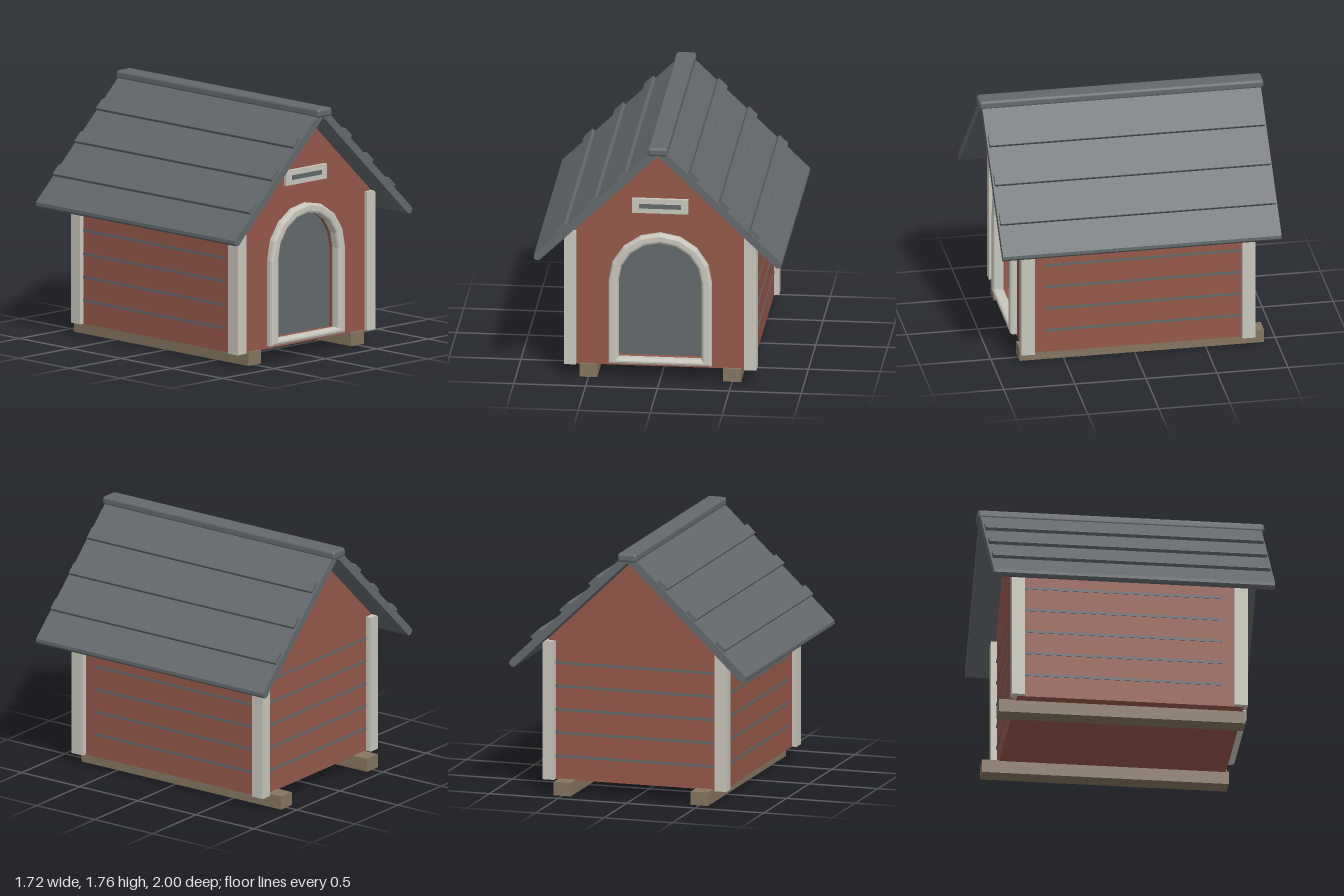
import * as THREE from 'three';
import { RoundedBoxGeometry } from 'three/addons/geometries/RoundedBoxGeometry.js';

const material = (name, color) => {
  const m = new THREE.MeshStandardMaterial({ color });
  m.name = name;
  return m;
};

export function createModel() {
  const red = material('barn red', 0x96584a);
  const cream = material('cream trim', 0xc9c7bc);
  const slate = material('slate grey', 0x63696c);
  const wood = material('brown wood', 0x857560);

  const model = new THREE.Group();
  model.name = 'kennel';

  const add = (name, geometry, mat, x = 0, y = 0, z = 0, parent = model) => {
    const mesh = new THREE.Mesh(geometry, mat);
    mesh.name = name;
    mesh.position.set(x, y, z);
    parent.add(mesh);
    return mesh;
  };
  const box = (name, mat, w, h, d, x, y, z, parent) =>
    add(name, new THREE.BoxGeometry(w, h, d), mat, x, y, z, parent);
  const polygon = (points) => new THREE.Shape(points.map(([x, y]) => new THREE.Vector2(x, y)));
  const extrude = (shape, depth) => new THREE.ExtrudeGeometry(shape, { depth, bevelEnabled: false });

  // Outlines shared by the walls and the doorway
  const gable = () => polygon([[-0.635, 0.09], [0.635, 0.09], [0.635, 1.085], [0, 1.695], [-0.635, 1.085]]);
  const arch = (halfWidth, bottom) => {
    const points = [[-halfWidth, bottom], [halfWidth, bottom]];
    for (let i = 0; i <= 8; i++) {
      const a = (i / 8) * Math.PI;
      points.push([halfWidth * Math.cos(a), 0.715 + halfWidth * Math.sin(a)]);
    }
    return polygon(points);
  };

  // House body and a front wall with the doorway cut through
  add('houseBody', extrude(gable(), 1.51), red, 0, 0, -0.79);
  const front = gable();
  front.holes.push(arch(0.3, 0.15));
  add('frontWall', extrude(front, 0.07), red, 0, 0, 0.72);
  add('doorPanel', extrude(arch(0.298, 0.152), 0.008), slate, 0, 0, 0.727);

  // Rounded door trim
  const trim = arch(0.36, 0.11);
  trim.holes.push(arch(0.29, 0.155));
  add('doorTrim', new THREE.ExtrudeGeometry(trim, {
    depth: 0.04, bevelThickness: 0.02, bevelSize: 0.018, bevelOffset: -0.018, bevelSegments: 2,
  }), cream, 0, 0, 0.78);

  // Name plate above the door
  box('plateFrame', cream, 0.39, 0.105, 0.03, 0, 1.272, 0.8);
  box('plateSlot', slate, 0.29, 0.032, 0.006, 0, 1.271, 0.817);

  // Corner posts, runners and plank lines
  for (const s of [-1, 1]) {
    box('frontPost', cream, 0.085, 0.98, 0.095, s * 0.6275, 0.58, 0.7675);
    box('backPost', cream, 0.085, 0.98, 0.09, s * 0.6275, 0.58, -0.785);
    box('runner', wood, 0.125, 0.095, 1.72, s * 0.5, 0.0475, -0.05);
  }
  for (let i = 0; i < 5; i++) {
    const y = 0.255 + i * 0.165;
    for (const s of [-1, 1]) box('sidePlankLine', slate, 0.008, 0.018, 1.38, s * 0.635, y, -0.05);
    box('backPlankLine', slate, 1.17, 0.018, 0.008, 0, y, -0.79);
  }

  // Bar lying on the slope: u runs down the roof, v points away from it
  const bar = (u0, u1, v0, v1, c, halfLength) => {
    const g = extrude(polygon([
      [u0, v0], [u1 - c, v0], [u1, v0 + c], [u1, v1 - c], [u1 - c, v1], [u0, v1],
    ]), halfLength * 2);
    return g.translate(0, 0, -halfLength);
  };

  // Two roof slopes with battens
  for (const turn of [0, Math.PI]) {
    const side = new THREE.Group();
    side.name = turn ? 'roofRight' : 'roofLeft';
    side.rotation.y = turn;
    const slope = new THREE.Group();
    slope.name = 'roofSlope';
    slope.position.y = 1.7;
    slope.rotation.z = -0.766;
    side.add(slope);
    model.add(side);
    add('roofPanel', bar(0, 1.16, 0, 0.054, 0.016, 0.98), slate, 0, 0, 0, slope);
    for (const u of [0.284, 0.575, 0.868]) {
      add('roofBatten', bar(u - 0.043, u + 0.043, 0.05, 0.08, 0.003, 0.968), slate, 0, 0, 0, slope);
    }
  }

  // Ridge cap
  add('ridgeCap', new RoundedBoxGeometry(0.14, 0.062, 2, 2, 0.02), slate, 0, 1.734, 0);

  return model;
}
